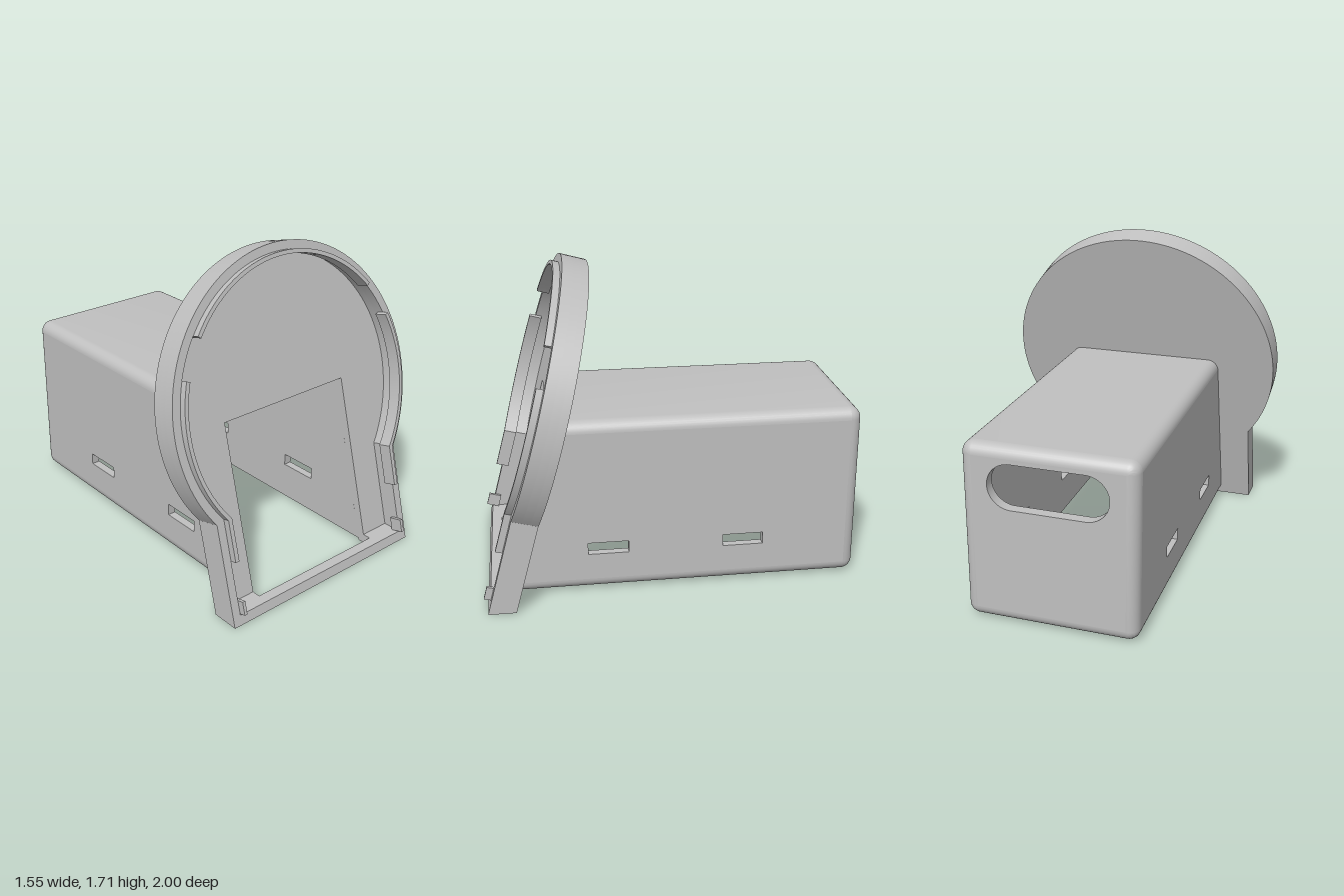
import * as THREE from 'three';
import { toCreasedNormals } from 'three/addons/utils/BufferGeometryUtils.js';

const TILT = Math.PI / 12, TAN = Math.tan(TILT);
const W = 0.45, IN = 0.405, LOW = 0.01, TOP = 0.955, R = 0.06, BACK = -1; // housing
const frontZ = (y) => 0.835 - TAN * y;      // slanted front end of the housing
const CV = 0.995;                           // centre of the face plate, along its slope

export function createModel() {
  const model = new THREE.Group();
  const grey = new THREE.MeshStandardMaterial({ color: 0xc0c0c0 });
  grey.name = 'light grey';
  grey.side = THREE.DoubleSide;

  const add = (parent, name, geo) => {
    const mesh = new THREE.Mesh(toCreasedNormals(geo, 0.5), grey);
    mesh.name = name;
    parent.add(mesh);
    return mesh;
  };
  const extrude = (shape, depth) =>
    new THREE.ExtrudeGeometry(shape, { depth, bevelEnabled: false, curveSegments: 16 });
  const poly = (pts) => new THREE.Shape(pts.map(([x, y]) => new THREE.Vector2(x, y)));
  const arc = (cx, cy, r, a, b, n) => Array.from({ length: n + 1 }, (_, i) => {
    const t = a + (b - a) * i / n;
    return [cx + r * Math.cos(t), cy + r * Math.sin(t)];
  });
  const mirror = (pts) => pts.map(([x, y]) => [-x, y]).reverse();

  // ---- housing: open below and in front, rounded outer edges ----
  const housing = new THREE.Group();
  housing.name = 'housing';
  model.add(housing);
  const cx = W - R, y0 = LOW + R, y1 = TOP - R, wallBack = BACK + R;

  // run a cross-section from the back wall to the slanted front
  const run = (pts) => {
    const geo = extrude(poly(pts), 1), p = geo.attributes.position;
    for (let i = 0; i < p.count; i++) p.setZ(i, p.getZ(i) > 0.5 ? frontZ(p.getY(i)) : wallBack);
    return geo;
  };
  const topRight = arc(cx, y1, R, 0, Math.PI / 2, 8);
  add(housing, 'roof', run([[IN, y1], ...topRight, ...mirror(topRight),
    [-IN, y1], [-IN, TOP - 0.045], [IN, TOP - 0.045]]));
  const rail = [...arc(cx, y0, R, -Math.acos((IN - cx) / R), 0, 8), [IN, y0]];
  add(housing, 'leftBottomRail', run(rail));
  add(housing, 'rightBottomRail', run(mirror(rail)));

  // side walls with two slots each
  const side = poly([[wallBack, y0], [frontZ(y0), y0], [frontZ(y1), y1], [wallBack, y1]]);
  for (const [a, b] of [[0.235, 0.45], [-0.485, -0.27]]) {
    side.holes.push(poly([[a, 0.215], [a, 0.28], [b, 0.28], [b, 0.215]]));
  }
  for (const [name, x] of [['leftWall', W], ['rightWall', -IN]]) {
    add(housing, name, extrude(side, W - IN).rotateY(-Math.PI / 2)).position.x = x;
  }

  // back wall with a rounded handle slot
  const back = poly([[-cx, y0], [cx, y0], [cx, y1], [-cx, y1]]);
  const slot = new THREE.Path();
  slot.absarc(0.19, 0.75, 0.12, -Math.PI / 2, Math.PI / 2, false);
  slot.absarc(-0.19, 0.75, 0.12, Math.PI / 2, Math.PI * 1.5, false);
  back.holes.push(slot);
  add(housing, 'backWall', extrude(back, R)).position.z = BACK;

  // rounded rim around the back wall, lofted through rounded rectangles
  const loop = (r, z) => [[cx, y0], [cx, y1], [-cx, y1], [-cx, y0]].flatMap(([x, y], k) =>
    arc(x, y, r, (k - 1) * Math.PI / 2, k * Math.PI / 2, 8).map(([u, v]) => [u, v, z]));
  const sections = [loop(0, wallBack)];
  for (let i = 0; i <= 8; i++) {
    const t = i / 8 * Math.PI / 2;
    sections.push(loop(R * Math.cos(t), wallBack - R * Math.sin(t)));
  }
  const n = sections[0].length, index = [];
  for (let i = 0; i < sections.length - 1; i++) {
    for (let j = 0; j < n; j++) {
      const a = i * n + j, b = i * n + (j + 1) % n;
      index.push(a, a + n, b, b, a + n, b + n);
    }
  }
  const rimGeo = new THREE.BufferGeometry();
  rimGeo.setAttribute('position', new THREE.Float32BufferAttribute(sections.flat(2), 3));
  rimGeo.setIndex(index);
  rimGeo.computeVertexNormals();
  add(housing, 'backRoundedEdge', rimGeo);

  // ---- tilted face plate: a round tray on a straight foot ----
  const plate = new THREE.Group();
  plate.name = 'facePlate';
  plate.position.z = 0.98;
  plate.rotation.x = -TILT;
  model.add(plate);

  // extrude between two depths; foot and opening edges are cut level, not square
  const slab = (shape, from, to) => {
    const geo = extrude(shape, to - from).translate(0, 0, from), p = geo.attributes.position;
    for (let i = 0; i < p.count; i++) {
      const v = p.getY(i);
      if (v < 0.1 || (Math.abs(p.getX(i)) < 0.41 && v < 0.96)) p.setY(i, v - p.getZ(i) * TAN);
    }
    return geo;
  };
  const keyhole = (x, r, bottom) => {
    const a = -Math.acos(x / r);
    return [[x, bottom], ...arc(0, CV, r, a, Math.PI - a, 96), [-x, bottom]];
  };
  const sill = 0.05 / Math.cos(TILT), lintel = 0.91 / Math.cos(TILT);
  const outer = keyhole(0.625, 0.775, 0), inner = keyhole(0.58, 0.73, sill);

  add(plate, 'plateFloor', slab(poly([[IN, 0], ...outer, [-IN, 0], [-IN, lintel], [IN, lintel]]),
    -0.14, -0.098));
  add(plate, 'plateRimBack', slab(poly([[IN, 0], ...outer, [-IN, 0], [-IN, sill],
    ...inner.slice().reverse(), [IN, sill]]), -0.098, -0.055));
  const rim = poly(outer);
  rim.holes.push(poly(inner));
  add(plate, 'plateRimFront', slab(rim, -0.055, 0));

  // raised lips just inside the rim
  const lip = (name, pts, from = -0.035) =>
    add(plate, name, extrude(poly(pts), 0.036 - from).translate(0, 0, from));
  lip('topLip', [...arc(0, CV, 0.73, 0.667, Math.PI - 0.667, 48),
    ...arc(0, CV, 0.709, Math.PI - 0.667, 0.667, 48)]);
  const sideLip = [[0.58, 0.335], ...arc(0, CV, 0.73, -Math.acos(0.58 / 0.73), 0.376, 32),
    ...arc(0, CV, 0.709, 0.376, -Math.acos(0.557 / 0.709), 32), [0.557, 0.335]];
  const footLip = [[0.58, 0.06], [0.58, 0.13], [0.563, 0.13], [0.563, 0.06]];
  lip('leftLip', sideLip);
  lip('rightLip', mirror(sideLip));
  lip('leftFootLip', footLip);
  lip('rightFootLip', mirror(footLip));

  return model;
}
